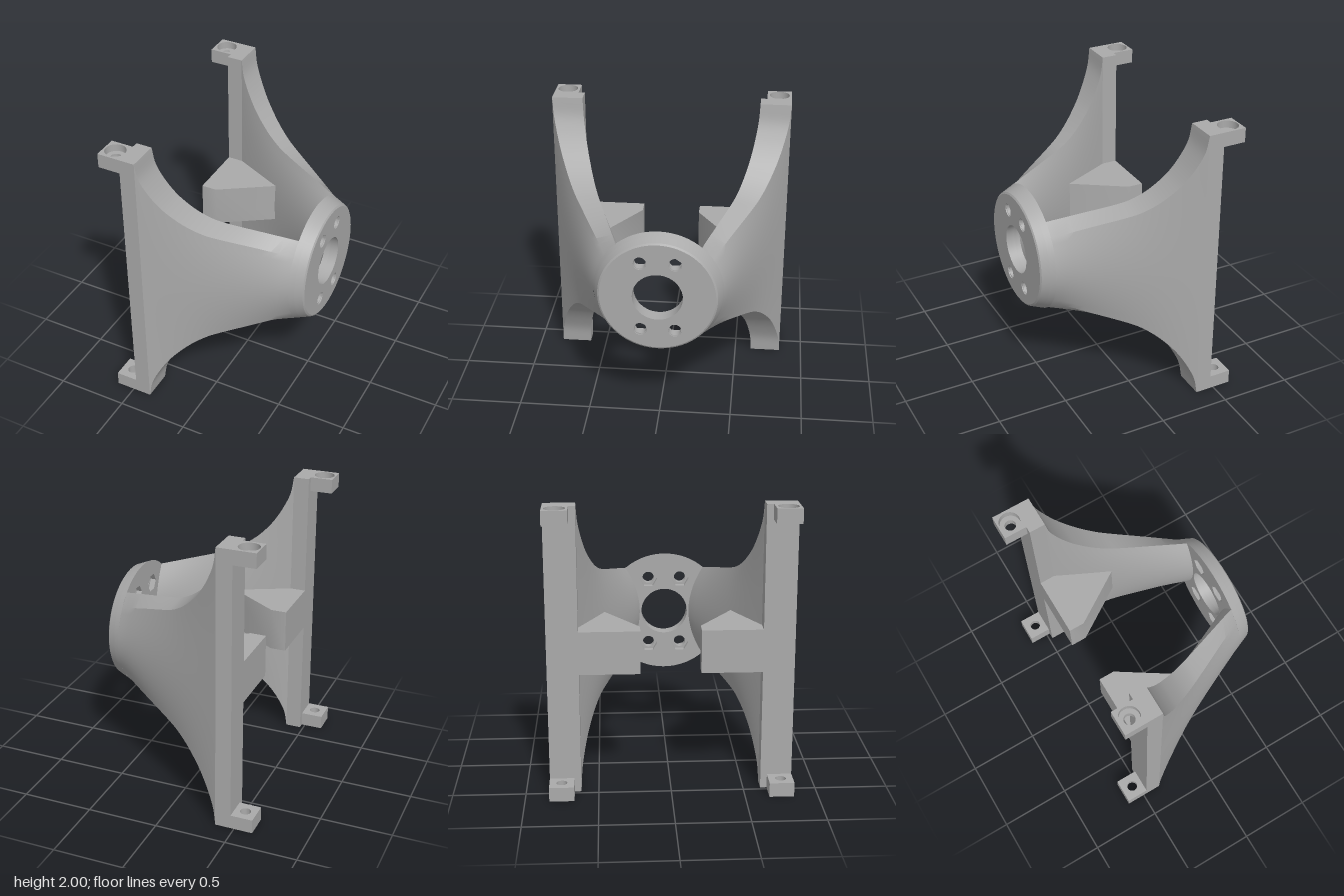
import * as THREE from 'three';
import { toCreasedNormals } from 'three/addons/utils/BufferGeometryUtils.js';

const grey = new THREE.MeshStandardMaterial({ color: 0xaaaaaa });
grey.name = 'plain grey';

const lerp = THREE.MathUtils.lerp;

function part(name, geometry, parent) {
  const mesh = new THREE.Mesh(geometry, grey);
  mesh.name = name;
  parent.add(mesh);
  return mesh;
}

// Round or polygonal hole
function hole(x, y, r, sides = 32) {
  const pts = [];
  for (let i = 0; i < sides; i++) {
    const a = (-i / sides) * Math.PI * 2;
    pts.push(new THREE.Vector2(x + r * Math.cos(a), y + r * Math.sin(a)));
  }
  return new THREE.Path(pts);
}

// Flat outline given in (x, z), raised from y0 to y1
function slab(outline, y0, y1, holes = []) {
  const shape = new THREE.Shape(outline.map(([x, z]) => new THREE.Vector2(x, -z)));
  shape.holes = holes;
  const g = new THREE.ExtrudeGeometry(shape, { depth: y1 - y0, bevelEnabled: false });
  g.rotateX(-Math.PI / 2).translate(0, y0, 0);
  return toCreasedNormals(g, 0.6);
}

// One layer of the hub disc, tapering from radius r0 to r1, with bolt holes
function hubLayer(x0, x1, r0, r1, boltRadius, boltSides) {
  const shape = new THREE.Shape();
  shape.absarc(0, 0, r0, 0, Math.PI * 2);
  shape.holes.push(hole(0, 0, 0.17, 48));
  for (const u of [-0.117, 0.117])
    for (const v of [-0.25, 0.25]) shape.holes.push(hole(u, v, boltRadius, boltSides));
  const g = new THREE.ExtrudeGeometry(shape, { depth: x1 - x0, bevelEnabled: false, curveSegments: 72 });
  const p = g.attributes.position;
  for (let i = 0; i < p.count; i++) {
    const r = Math.hypot(p.getX(i), p.getY(i));
    if (p.getZ(i) > (x1 - x0) / 2 && r > r0 - 0.001)
      p.setXY(i, (p.getX(i) * r1) / r, (p.getY(i) * r1) / r);
  }
  g.rotateY(Math.PI / 2).translate(x0, 0, 0);
  return toCreasedNormals(g, 0.5);
}

// Arm: loft from a tall rectangle at the post to a lens section at the hub
function armGeometry() {
  const profile = new THREE.CatmullRomCurve3(
    [[-0.365, 1], [-0.345, 0.88], [-0.3, 0.775], [-0.25, 0.69], [-0.2, 0.625], [-0.1, 0.53],
      [0, 0.468], [0.08, 0.44], [0.3, 0.387], [0.525, 0.334]].map(([x, h]) => new THREE.Vector3(x, h, 0)));
  const rows = 44, n = 14, rings = [];
  for (let i = 0; i <= rows; i++) {
    const { x, y: h } = profile.getPoint(i / rows);
    const t = THREE.MathUtils.clamp((x + 0.365) / 0.885, 0, 1);
    const outerH = h - 0.085 * Math.pow(t, 1.5);
    const outerMid = lerp(0.835, 0.44, t), outerEdge = lerp(0.835, 0.36, t);
    const innerMid = lerp(0.62, 0.18, t), innerEdge = lerp(0.62, 0.285, t);
    const ring = [];
    for (let j = 0; j <= n; j++) {
      const s = 1 - (2 * j) / n;
      ring.push([x, s * outerH, lerp(outerMid, outerEdge, s * s)]);
    }
    for (let j = 0; j <= n; j++) {
      const s = (2 * j) / n - 1;
      ring.push([x, s * h, lerp(innerMid, innerEdge, s * s)]);
    }
    rings.push(ring);
  }
  const pos = [], m = rings[0].length;
  for (let i = 0; i < rows; i++)
    for (let j = 0; j < m; j++) {
      const k = (j + 1) % m;
      const a = rings[i][j], b = rings[i][k], c = rings[i + 1][k], d = rings[i + 1][j];
      pos.push(...a, ...b, ...d, ...b, ...c, ...d);
    }
  const g = new THREE.BufferGeometry();
  g.setAttribute('position', new THREE.Float32BufferAttribute(pos, 3));
  g.computeVertexNormals();
  return toCreasedNormals(g, 0.45);
}

function buildSide(name) {
  const side = new THREE.Group();
  side.name = name;
  part('arm', armGeometry(), side);

  // Upright post
  const post = new THREE.BoxGeometry(0.11, 2, 0.215);
  part('post', post, side).position.set(-0.42, 0, 0.7275);

  // Wedge gusset at mid height
  part('gusset', slab([[-0.475, 0.63], [-0.475, 0.205], [-0.365, 0.205], [0, 0.443], [-0.365, 0.63]],
    -0.15, 0.15), side);

  // Mounting tabs, counterbored on the outer end
  const tab = [[-0.63, 0.835], [-0.47, 0.835], [-0.47, 0.665], [-0.63, 0.665]];
  const bore = (r) => [hole(-0.55, -0.75, r)];
  for (const up of [true, false]) {
    const [a, b, c] = up ? [0.9, 0.95, 1] : [-0.9, -0.95, -1];
    part('mountingTab', slab(tab, Math.min(a, b), Math.max(a, b), bore(0.037)), side);
    part('tabCounterbore', slab(tab, Math.min(b, c), Math.max(b, c), bore(0.07)), side);
  }
  return side;
}

export function createModel() {
  const model = new THREE.Group();
  model.name = 'motorMountBracket';
  const body = new THREE.Group();
  body.name = 'body';
  body.position.y = 1;
  model.add(body);

  // Hub disc: nut pockets behind, round bolt holes in front, chamfered rim
  part('hubBack', hubLayer(0.52, 0.56, 0.44, 0.424, 0.065, 6), body);
  part('hubFront', hubLayer(0.56, 0.612, 0.424, 0.402, 0.042, 32), body);
  part('hubRim', hubLayer(0.612, 0.62, 0.402, 0.39, 0.046, 32), body);

  // Two sides, the second turned half way round the hub axis
  body.add(buildSide('leftSide'));
  const other = buildSide('rightSide');
  other.rotation.x = Math.PI;
  body.add(other);
  return model;
}
